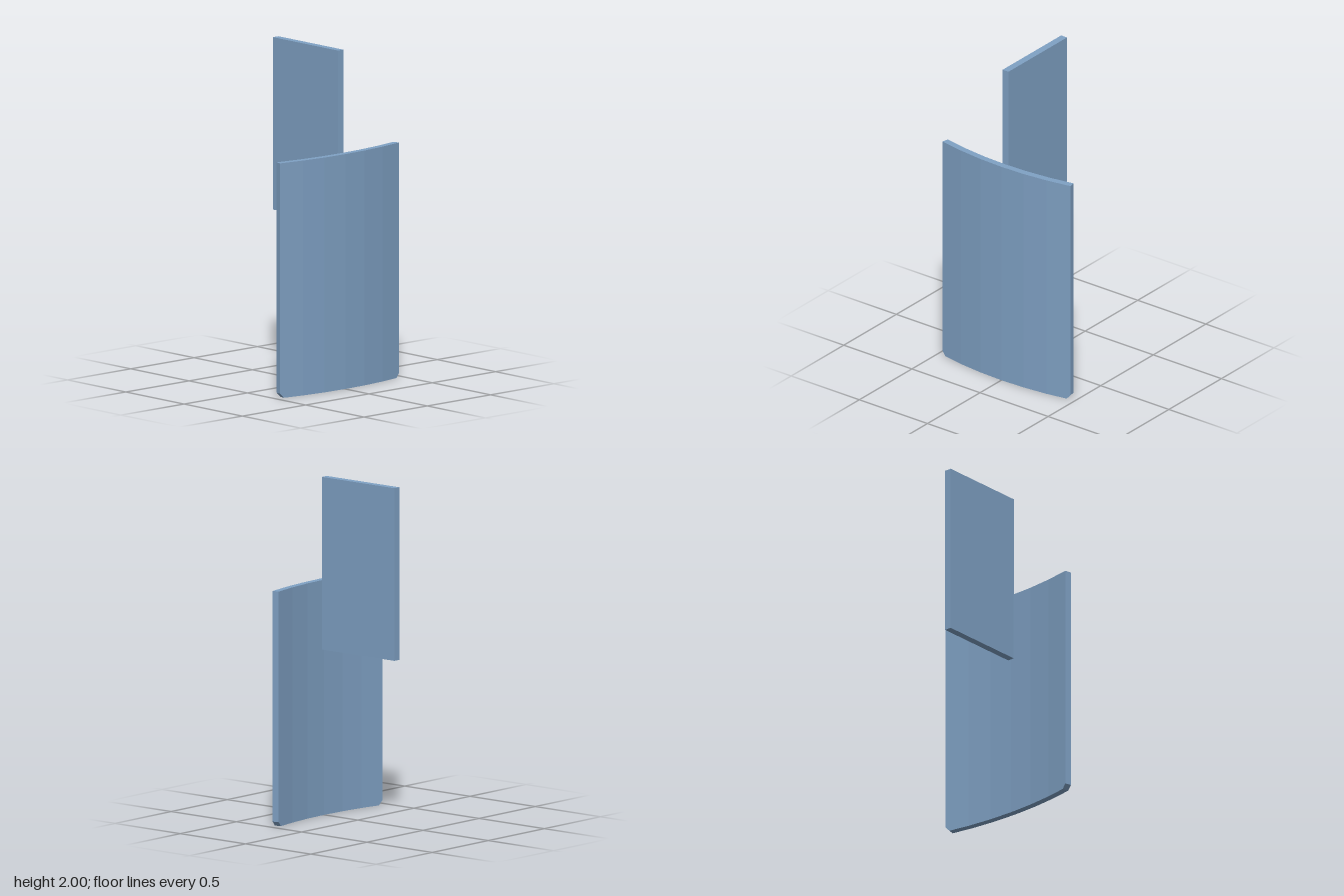
import * as THREE from 'three';

export function createModel() {
  const group = new THREE.Group();
  const steelBlue = new THREE.MeshStandardMaterial({ color: 0x7fa1c4 });

  // Flat upright fin, butting against the inside of the curved panel
  const fin = new THREE.Mesh(new THREE.BoxGeometry(0.557, 1.02, 0.043), steelBlue);
  fin.name = 'fin';
  fin.position.set(-0.0215, 1.49, 0);
  group.add(fin);

  // Curved panel: a box bent round a vertical axis in six facets,
  // with one extra column near each end for the clipped bottom corners
  const radius = 2.28, thickness = 0.04, height = 1.39, halfAngle = 0.2075;
  const facets = 6, clip = 0.027, centreX = 0.297 - radius;
  const columns = [0, 0.16, 1, 2, 3, 4, 5, 5.84, 6];
  const last = columns.length - 1;

  // Point on the faceted arc at a fractional facet number
  const arcPoint = (r, u) => {
    const i = Math.min(Math.floor(u), facets - 1);
    const corner = (k) => {
      const a = halfAngle * (2 * k / facets - 1);
      return new THREE.Vector2(centreX + r * Math.cos(a), r * Math.sin(a));
    };
    return corner(i).lerp(corner(i + 1), u - i);
  };

  const bent = new THREE.BoxGeometry(thickness, height, 1, 1, 1, last);
  const pos = bent.attributes.position;
  for (let i = 0; i < pos.count; i++) {
    const column = Math.round((pos.getZ(i) + 0.5) * last);
    const p = arcPoint(pos.getX(i) > 0 ? radius : radius - thickness, columns[column]);
    const atEnd = column === 0 || column === last;
    const y = pos.getY(i) > 0 ? height : (atEnd ? clip : 0);
    pos.setXYZ(i, p.x, y, p.y);
  }
  const panelGeometry = bent.toNonIndexed();
  panelGeometry.computeVertexNormals();
  const panel = new THREE.Mesh(panelGeometry, steelBlue);
  panel.name = 'curvedPanel';
  group.add(panel);

  return group;
}
